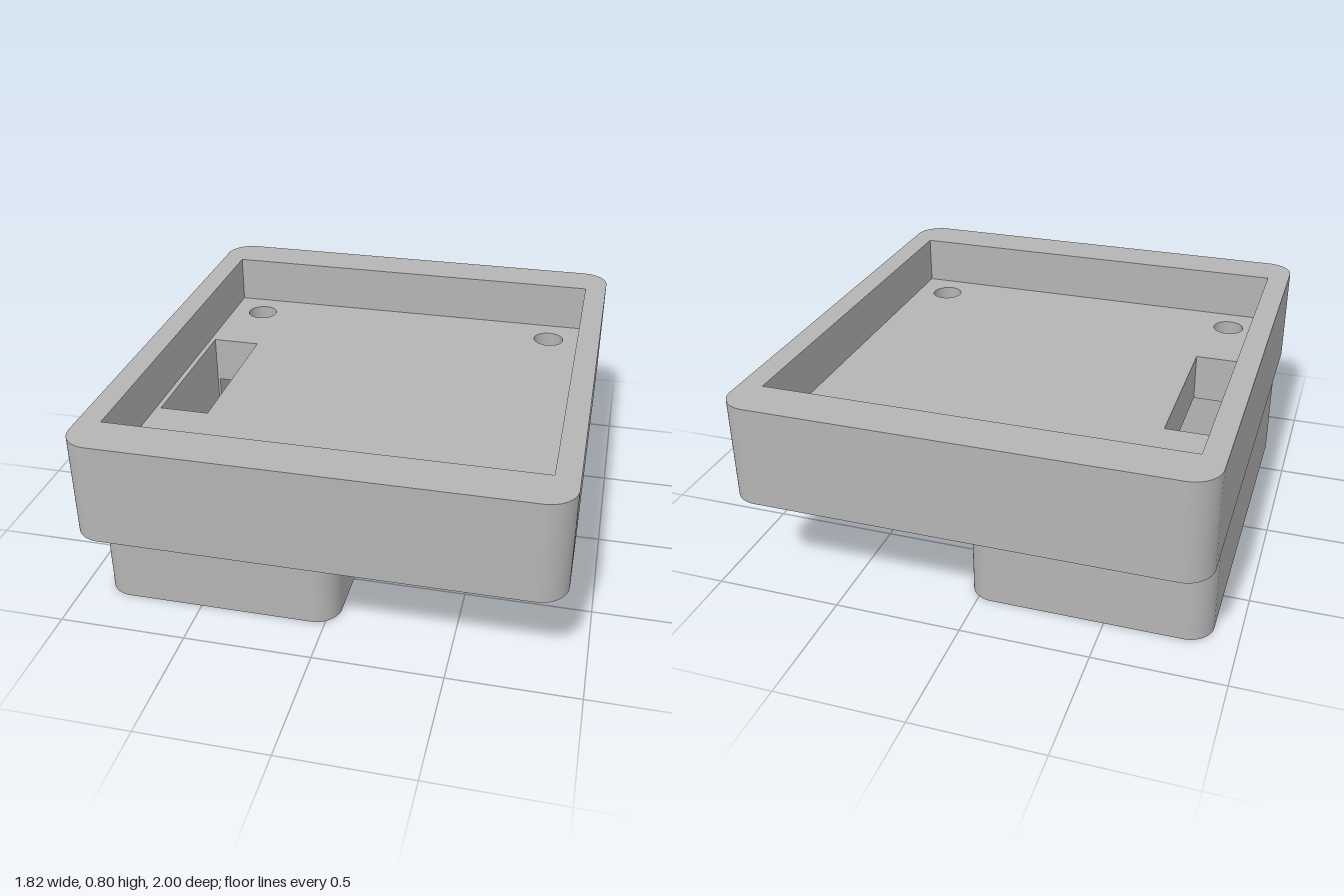
import * as THREE from 'three';
import { toCreasedNormals } from 'three/addons/utils/BufferGeometryUtils.js';

// Rounded rectangle outline between two corners
function roundedRect(x0, y0, x1, y1, r) {
  const s = new THREE.Shape();
  s.absarc(x1 - r, y0 + r, r, -Math.PI / 2, 0);
  s.absarc(x1 - r, y1 - r, r, 0, Math.PI / 2);
  s.absarc(x0 + r, y1 - r, r, Math.PI / 2, Math.PI);
  s.absarc(x0 + r, y0 + r, r, Math.PI, Math.PI * 1.5);
  s.closePath();
  return s;
}

function polygonHole(points) {
  return new THREE.Path(points.map(([x, y]) => new THREE.Vector2(x, y)));
}

function rectHole(x0, y0, x1, y1) {
  return polygonHole([[x0, y0], [x0, y1], [x1, y1], [x1, y0]]);
}

// Plan shape raised from height y0 to y1
function slab(name, shape, y0, y1, material) {
  const extruded = new THREE.ExtrudeGeometry(shape, {
    depth: y1 - y0, bevelEnabled: false, curveSegments: 12,
  });
  extruded.rotateX(-Math.PI / 2).translate(0, y0, 0);
  const mesh = new THREE.Mesh(toCreasedNormals(extruded, 0.6), material);
  mesh.name = name;
  return mesh;
}

export function createModel() {
  const group = new THREE.Group();
  group.name = 'enclosure';
  const grey = new THREE.MeshStandardMaterial({ color: 0xb4b4b4 });
  grey.name = 'grey';

  // Upper tray rim around the square-cornered recess
  const rim = roundedRect(-0.91, -1, 0.91, 1, 0.11);
  rim.holes.push(rectHole(-0.82, -0.815, 0.82, 0.815));
  group.add(slab('trayRim', rim, 0.6, 0.8, grey));

  // Tray floor with four screw holes and a cable slot
  const floor = roundedRect(-0.91, -1, 0.91, 1, 0.11);
  for (const x of [-0.68, 0.68]) {
    for (const z of [-0.67, 0.67]) {
      floor.holes.push(new THREE.Path().absarc(x, z, 0.065, 0, Math.PI * 2, true));
    }
  }
  floor.holes.push(rectHole(-0.8, -0.33, -0.6, 0.33));
  group.add(slab('trayFloor', floor, 0.4, 0.6, grey));

  // Lower housing, open underneath, with the slot's shallow groove in its side wall
  const housing = roundedRect(-0.9, -0.8, 0.045, 0.8, 0.1);
  housing.holes.push(polygonHole([
    [-0.79, -0.69], [-0.79, -0.33], [-0.8, -0.33], [-0.8, 0.33],
    [-0.79, 0.33], [-0.79, 0.69], [-0.065, 0.69], [-0.065, -0.69],
  ]));
  group.add(slab('lowerHousing', housing, 0, 0.4, grey));

  return group;
}
